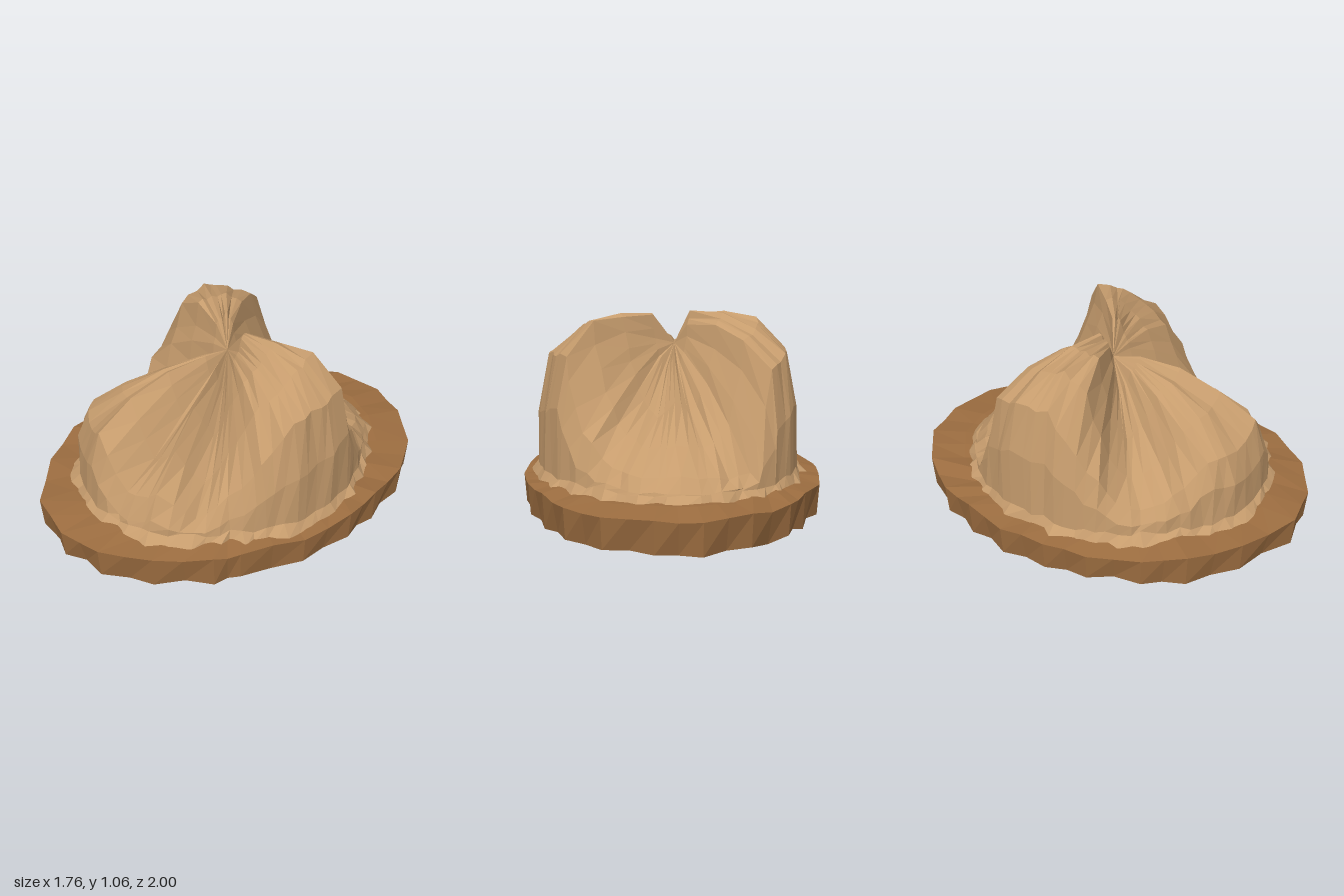
import * as THREE from 'three';

// Skins a stack of closed rings (top centre outwards and down) with faceted quads.
function skin(name, rings, color) {
  const n = rings[0].length;
  const index = [];
  for (let i = 0; i < rings.length - 1; i++) {
    for (let j = 0; j < n; j++) {
      const a = i * n + j, b = i * n + (j + 1) % n;
      const c = a + n, d = b + n;
      index.push(a, b, d, a, d, c);
    }
  }
  const geometry = new THREE.BufferGeometry();
  geometry.setAttribute('position', new THREE.Float32BufferAttribute(rings.flat(2), 3));
  geometry.setIndex(index);
  geometry.computeVertexNormals();
  const mesh = new THREE.Mesh(geometry, new THREE.MeshStandardMaterial({ color, flatShading: true }));
  mesh.name = name;
  return mesh;
}

function seeded(seed) {
  return () => {
    seed = (seed * 16807) % 2147483647;
    return seed / 2147483647 - 0.5;
  };
}

// Slanted oval outline of the slab, [x, z].
const OUTLINE = [
  [0.2, -1], [0.47, -0.97], [0.66, -0.83], [0.82, -0.61], [0.88, -0.36], [0.85, -0.1],
  [0.81, 0.12], [0.68, 0.4], [0.45, 0.67], [0.35, 0.77], [0.08, 0.93], [-0.2, 1],
  [-0.45, 0.96], [-0.68, 0.82], [-0.83, 0.5], [-0.88, 0.2], [-0.84, -0.03], [-0.75, -0.3],
  [-0.62, -0.5], [-0.46, -0.7], [-0.25, -0.84], [-0.07, -0.95],
];

function createSlab() {
  const rnd = seeded(11);
  // chipped rim: a point between each pair of outline corners
  const rim = OUTLINE.flatMap(([x, z], i) => {
    const [u, v] = OUTLINE[(i + 1) % OUTLINE.length];
    return [[x, z], [(x + u) / 2, (z + v) / 2]];
  });
  const ring = (scale, y, wobble, chip) => rim.map(([x, z], i) => {
    const s = scale - (i % 2) * chip;
    return [x * s, y + wobble * rnd(), z * s];
  });
  return skin('baseSlab', [
    ring(0, 0.2, 0, 0), ring(0.82, 0.205, 0.02, 0), ring(1, 0.185, 0.025, 0),
    ring(0.985, 0.02, 0.03, 0.025), ring(0, 0, 0, 0),
  ], 0x9c6d40);
}

// Mound heights along a spoke every 15 degrees from +x towards +z, at STOPS of its length.
const STOPS = [0.15, 0.4, 0.65, 0.87, 0.94];
const LENGTHS = [
  0.75, 0.74, 0.74, 0.73, 0.72, 0.78, 0.84, 0.86, 0.88, 0.87, 0.82, 0.76,
  0.73, 0.72, 0.71, 0.71, 0.75, 0.77, 0.8, 0.83, 0.85, 0.84, 0.79, 0.76,
];
const HEIGHTS = [
  // right-hand lobe falling into the front gully
  [1.03, 1.04, 1.03, 0.87, 0.6], [1.04, 1.04, 1.0, 0.85, 0.55],
  [0.95, 0.96, 0.92, 0.83, 0.52], [0.9, 0.88, 0.82, 0.62, 0.44],
  [0.82, 0.73, 0.58, 0.42, 0.31], [0.74, 0.56, 0.4, 0.3, 0.25],
  // front ridge and front lobe
  [0.85, 0.74, 0.6, 0.45, 0.31], [0.8, 0.66, 0.5, 0.38, 0.27],
  [0.9, 0.88, 0.78, 0.64, 0.45], [0.88, 0.83, 0.73, 0.58, 0.42],
  [0.85, 0.78, 0.69, 0.58, 0.45], [0.78, 0.62, 0.5, 0.4, 0.32],
  // side gully and tall back lobe
  [0.72, 0.55, 0.42, 0.34, 0.28], [0.8, 0.68, 0.56, 0.45, 0.34],
  [1.0, 1.03, 0.93, 0.66, 0.46], [1.04, 1.06, 1.03, 0.87, 0.58],
  [1.05, 1.05, 0.98, 0.86, 0.6], [0.99, 1.0, 0.94, 0.8, 0.5],
  // low ribbed fan at the back
  [0.84, 0.7, 0.52, 0.3, 0.26], [0.78, 0.56, 0.42, 0.3, 0.25],
  [0.82, 0.62, 0.44, 0.32, 0.26], [0.76, 0.54, 0.42, 0.32, 0.25],
  [0.82, 0.62, 0.47, 0.35, 0.27], [0.88, 0.82, 0.68, 0.5, 0.33],
];

function createMound() {
  const rnd = seeded(29);
  const spokes = 72;
  const pole = [-0.01, 0.88, -0.02];
  const rings = [[], [], [], [], [], [], [], []];
  for (let s = 0; s < spokes; s++) {
    const i = Math.floor(s / 3), k = (i + 1) % 24, part = (s % 3) / 3;
    const mix = (a, b) => a + (b - a) * part;
    const angle = (s / spokes) * Math.PI * 2 + rnd() * 0.04;
    const length = mix(LENGTHS[i], LENGTHS[k]) * (1 + rnd() * 0.02);
    const crease = part ? 0.04 * rnd() - 0.01 : 0;
    const point = (r, y) => {
      const a = angle + rnd() * 0.03;
      return [r * Math.cos(a), y, r * Math.sin(a)];
    };
    rings[0].push(pole);
    STOPS.forEach((t, q) => {
      const y = mix(HEIGHTS[i][q], HEIGHTS[k][q]) + crease * (1 - t * 0.5) + rnd() * 0.015;
      rings[q + 1].push(point(t * length * (1 + rnd() * 0.02), y));
    });
    // steep wall ending in a small uneven foot
    rings[6].push(point(length * 0.95, 0.24 + rnd() * 0.03));
    rings[7].push(point(length * (1.01 + rnd() * 0.06), 0.185));
  }
  return skin('rockMound', rings, 0xc69c6d);
}

export function createModel() {
  const group = new THREE.Group();
  group.name = 'rockOnSlab';
  group.add(createSlab(), createMound());
  return group;
}
